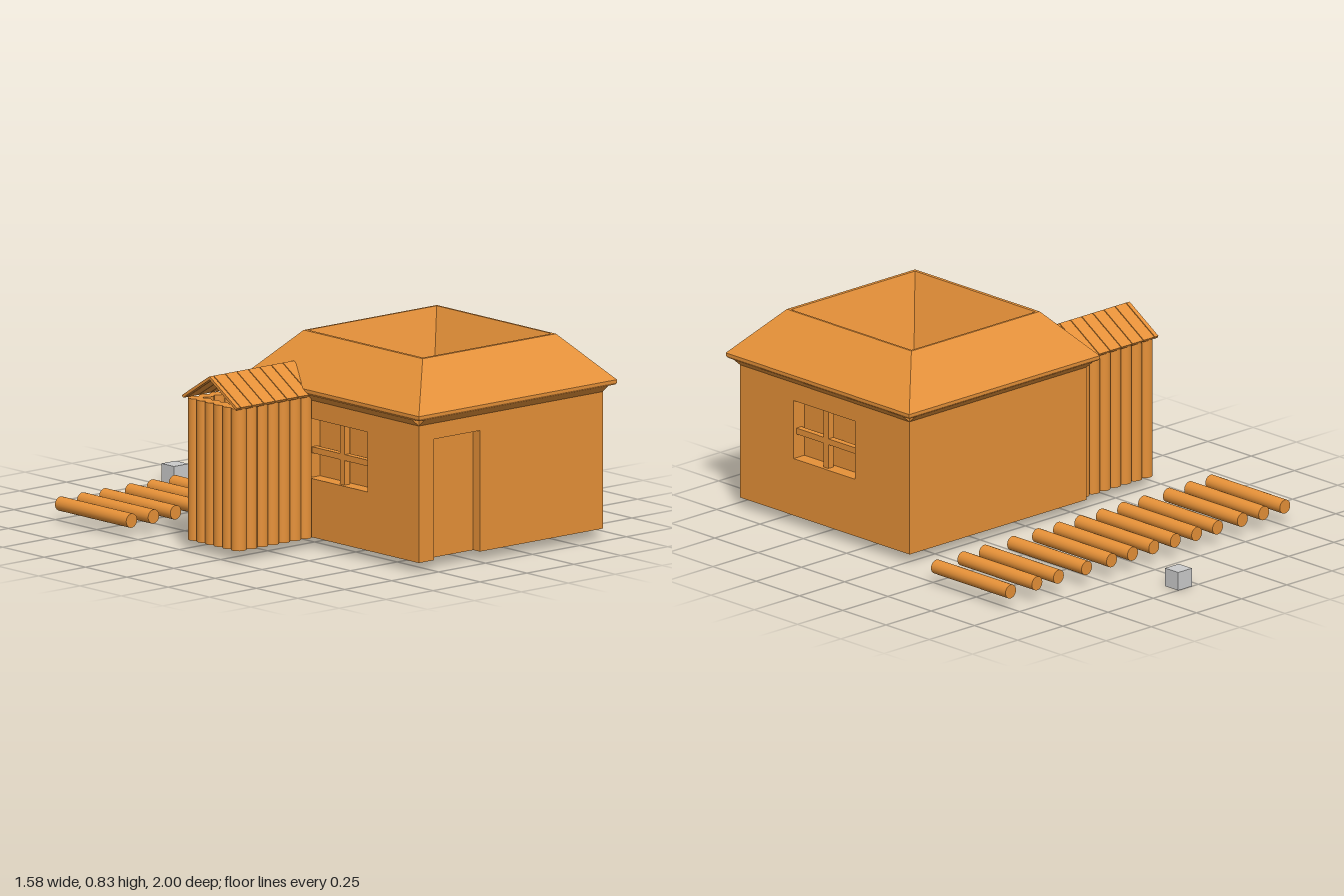
import * as THREE from 'three';

const wood = new THREE.MeshStandardMaterial({ color: 0xe69138 });
const grey = new THREE.MeshStandardMaterial({ color: 0xcccccc });

function add(parent, name, geometry, x = 0, y = 0, z = 0, material = wood) {
  const mesh = new THREE.Mesh(geometry, material);
  mesh.name = name;
  mesh.position.set(x, y, z);
  parent.add(mesh);
  return mesh;
}

// Box given by its limits on each axis
function block(parent, name, x0, x1, y0, y1, z0, z1, material = wood) {
  return add(parent, name, new THREE.BoxGeometry(x1 - x0, y1 - y0, z1 - z0),
    (x0 + x1) / 2, (y0 + y1) / 2, (z0 + z1) / 2, material);
}

const polygon = (points) => new THREE.Shape(points.map(([x, y]) => new THREE.Vector2(x, y)));
const rect = (x0, x1, y0, y1) => polygon([[x0, y0], [x1, y0], [x1, y1], [x0, y1]]);
const extrude = (shape, depth) => new THREE.ExtrudeGeometry(shape, { depth, bevelEnabled: false });

// Skin over a stack of rectangles [x0, x1, z0, z1, y]
function rectangleLoft(sections) {
  const rings = sections.map(([x0, x1, z0, z1, y]) =>
    [[x0, y, z0], [x1, y, z0], [x1, y, z1], [x0, y, z1]]);
  const positions = [];
  for (let i = 0; i + 1 < rings.length; i++) {
    const a = rings[i], b = rings[i + 1];
    for (let k = 0; k < 4; k++) {
      const n = (k + 1) % 4;
      positions.push(...a[k], ...b[k], ...a[n], ...a[n], ...b[k], ...b[n]);
    }
  }
  const geometry = new THREE.BufferGeometry();
  geometry.setAttribute('position', new THREE.Float32BufferAttribute(positions, 3));
  geometry.computeVertexNormals();
  return geometry;
}

function buildHouse() {
  const house = new THREE.Group();
  house.name = 'house';

  // Hollow core, leaving room for the sunken roof
  block(house, 'floor', -0.26, 0.6, 0.04, 0.06, -0.02, 0.92);
  const core = rect(-0.26, 0.6, -0.92, 0.02);
  core.holes.push(rect(-0.12, 0.46, -0.77, -0.16));
  add(house, 'innerWalls', extrude(core, 0.59).rotateX(-Math.PI / 2), 0, 0.04, 0);

  // Front wall with a recessed doorway
  add(house, 'frontWall', extrude(polygon([
    [-0.26, 0.04], [-0.24, 0.04], [-0.24, 0.535], [0.005, 0.535],
    [0.005, 0.04], [0.6, 0.04], [0.6, 0.63], [-0.26, 0.63],
  ]), 0.04), 0, 0, 0.92);

  // Side walls with recessed windows and their cross bars
  for (const [side, outer] of [['left', 0.66], ['right', -0.26]]) {
    const wall = rect(-0.02, 0.96, 0.04, 0.63);
    wall.holes.push(rect(0.295, 0.65, 0.28, 0.525));
    add(house, side + 'Wall', extrude(wall, 0.06).rotateY(-Math.PI / 2), outer, 0, 0);
    const x = outer - 0.03;
    block(house, side + 'WindowPost', x - 0.015, x + 0.015, 0.28, 0.525, 0.465, 0.493);
    block(house, side + 'WindowBar', x - 0.014, x + 0.014, 0.38, 0.405, 0.295, 0.65);
  }

  // Sloped moulding under the eaves, one per wall
  const wedge = extrude(polygon([[0.49, 0.6], [0.528, 0.632], [0.49, 0.632]]), 0.98)
    .translate(0, 0, -0.49);
  for (let i = 0; i < 4; i++) {
    add(house, 'eaveMoulding', wedge, 0.17, 0, 0.47).rotation.y = i * Math.PI / 2;
  }

  // Hipped roof with a tapering well in the middle
  add(house, 'roof', rectangleLoft([
    [-0.12, 0.46, 0.16, 0.77, 0.63],
    [-0.35, 0.695, -0.055, 0.995, 0.63],
    [-0.355, 0.7, -0.06, 1, 0.638],
    [-0.355, 0.7, -0.06, 1, 0.65],
    [-0.185, 0.525, 0.11, 0.83, 0.835],
    [-0.17, 0.515, 0.12, 0.815, 0.835],
    [0, 0.35, 0.285, 0.645, 0.45],
    [0.175, 0.175, 0.465, 0.465, 0.45],
  ]));
  return house;
}

function buildShed() {
  const shed = new THREE.Group();
  shed.name = 'logShed';

  // Upright logs along the front, back and outer end
  const log = new THREE.CylinderGeometry(0.031, 0.031, 0.58, 20);
  for (let i = 0; i < 7; i++) {
    const x = -0.694 + i * 0.058;
    for (const z of [0.035, 0.295]) add(shed, 'wallLog', log, x, 0.33, z);
  }
  for (let i = 1; i < 5; i++) add(shed, 'endLog', log, -0.694, 0.33, 0.035 + i * 0.052);

  // Gabled plank roof running into the main roof
  const slope = Math.atan2(0.103, 0.165);
  for (let i = 0; i < 8; i++) {
    const x0 = i ? -0.774 + i * 0.0615 : -0.735;
    const x1 = -0.774 + (i + 1) * 0.0615 - 0.004;
    for (const side of [-1, 1]) {
      const plank = new THREE.BoxGeometry(x1 - x0, 0.012, 0.194);
      plank.rotateX(side * slope);
      add(shed, 'roofPlank', plank, (x0 + x1) / 2, 0.676, 0.165 + side * 0.081);
    }
  }
  // Thin boarding that closes the gaps between the planks
  for (const side of [-1, 1]) {
    const board = new THREE.BoxGeometry(0.46, 0.006, 0.184).rotateX(side * slope);
    add(shed, 'roofBoarding', board, -0.503, 0.676, 0.165 + side * 0.079);
  }
  return shed;
}

export function createModel() {
  const model = new THREE.Group();
  model.name = 'cabin';
  model.add(buildHouse(), buildShed());

  // Row of logs lying behind the house
  const logs = new THREE.Group();
  logs.name = 'groundLogs';
  const log = new THREE.CylinderGeometry(0.029, 0.029, 0.43, 24).rotateX(Math.PI / 2);
  for (const x of [-0.762, -0.645, -0.527, -0.39, -0.274, -0.156, -0.037,
    0.081, 0.197, 0.335, 0.491, 0.61, 0.756]) {
    add(logs, 'groundLog', log, x, 0.075, -0.49);
  }
  model.add(logs);

  // Small stone cube
  block(model, 'stoneCube', 0.036, 0.112, 0, 0.076, -1, -0.924, grey);
  return model;
}
